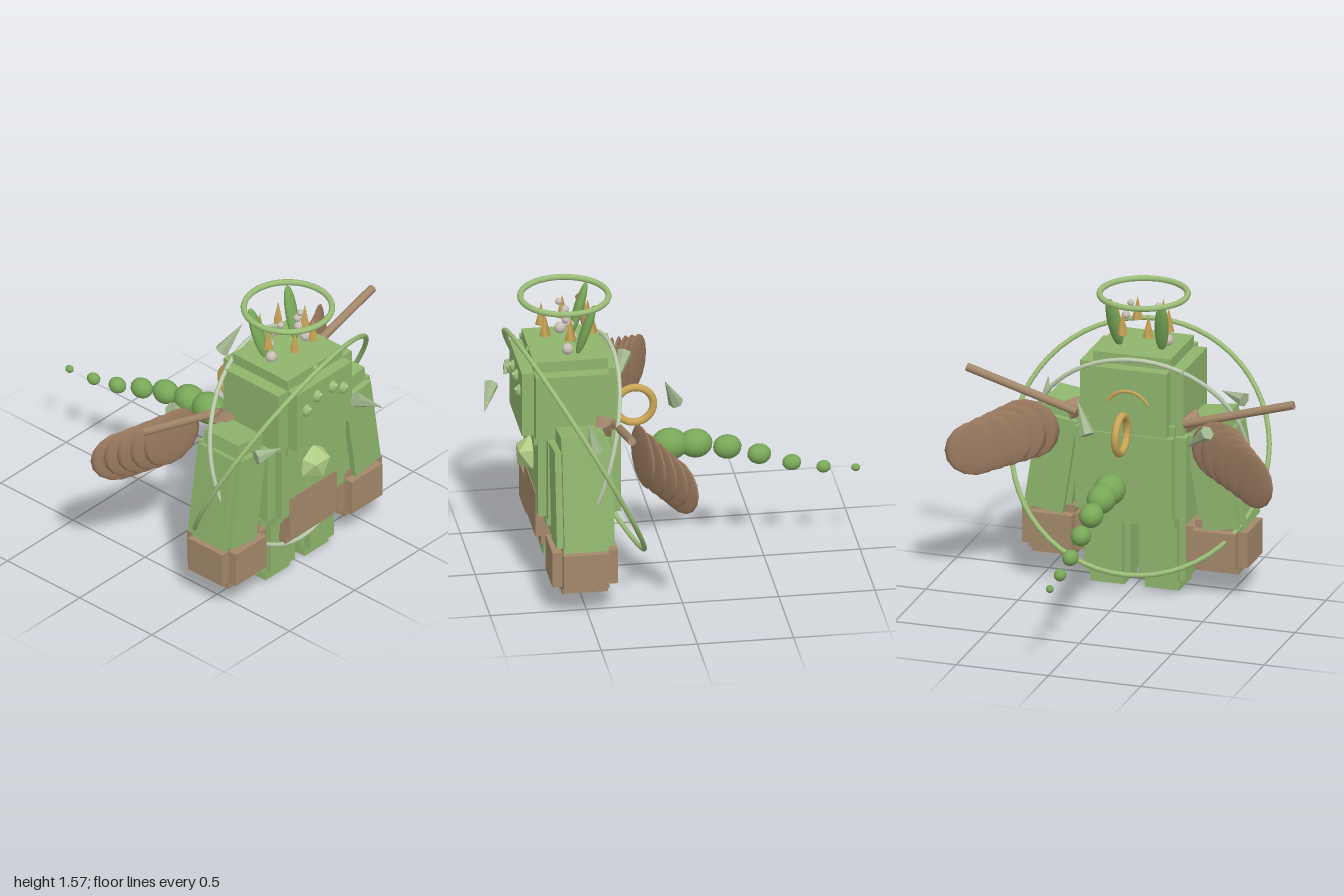
import * as THREE from 'three';

const mat = (name, color, side = THREE.FrontSide) => {
  const m = new THREE.MeshStandardMaterial({ color, side });
  m.name = name;
  return m;
};

export function createModel() {
  const green = mat('body green', 0x8fb56d);
  const brown = mat('earth brown', 0xa3886a);
  const tailGreen = mat('leaf green', 0x79a858);
  const lime = mat('light lime', 0xb2cf86);
  const ringGreen = mat('ring green', 0x9cbf78);
  const pale = mat('pale sage', 0xbccbab);
  const shardGreen = mat('shard green', 0xa3b890);
  const gold = mat('gold', 0xc9a656);
  const bead = mat('bead grey', 0xc9bfb6);
  const wingBrown = mat('wing brown', 0x9b7b60);
  shardGreen.flatShading = true;
  lime.flatShading = false;

  const root = new THREE.Group();
  const V = (x, y, z) => new THREE.Vector3(x, y, z);

  const add = (name, geo, material, pos = [0, 0, 0], rot = [0, 0, 0], parent = root) => {
    const m = new THREE.Mesh(geo, material);
    m.name = name;
    m.position.set(...pos);
    m.rotation.set(...rot);
    parent.add(m);
    return m;
  };

  // Chunky block: three crossed boxes, each full size along one axis only
  const block = (name, [w, h, d], pos, material, k = 0.75, rotZ = 0) => {
    const g = new THREE.Group();
    g.name = name;
    g.position.set(...pos);
    g.rotation.z = rotZ;
    add(name + 'Wide', new THREE.BoxGeometry(w, h * k, d * k), material, [0, 0, 0], [0, 0, 0], g);
    add(name + 'Tall', new THREE.BoxGeometry(w * k, h, d * k), material, [0, 0, 0], [0, 0, 0], g);
    add(name + 'Deep', new THREE.BoxGeometry(w * k, h * k, d), material, [0, 0, 0], [0, 0, 0], g);
    root.add(g);
  };

  // Cylinder or cone running from one point to another
  const rod = (name, a, b, r0, r1, sides, material) => {
    const dir = b.clone().sub(a);
    const m = add(name, new THREE.CylinderGeometry(r1, r0, dir.length(), sides), material);
    m.position.copy(a).add(b).multiplyScalar(0.5);
    m.quaternion.setFromUnitVectors(V(0, 1, 0), dir.normalize());
  };

  // Hoop facing along a normal
  const hoop = (name, R, r, pos, normal, material) => {
    const m = add(name, new THREE.TorusGeometry(R, r, 8, 56), material, pos);
    m.quaternion.setFromUnitVectors(V(0, 0, 1), normal.normalize());
  };

  // Head, torso and loincloth
  block('head', [0.56, 0.47, 0.51], [0, 1.045, 0.535], green);
  block('torso', [0.6, 0.555, 0.43], [0, 0.643, 0.495], green, 0.8);
  add('loincloth', new THREE.BoxGeometry(0.36, 0.245, 0.07), brown, [0, 0.4025, 0.68]);
  add('loinclothHem', new THREE.BoxGeometry(0.36, 0.06, 0.05), brown, [0, 0.265, 0.66]);

  for (const s of [-1, 1]) {
    // Limbs
    block('leg', [0.25, 0.45, 0.28], [s * 0.149, 0.225, 0.497], green, 0.74);
    block('arm', [0.25, 0.67, 0.3], [s * 0.438, 0.628, 0.513], green, 0.77, s * 0.15);
    block('hand', [0.335, 0.275, 0.34], [s * 0.443, 0.262, 0.515], brown, 0.7);

    // Ears
    const ear = add('ear', new THREE.SphereGeometry(1, 14, 10), tailGreen,
      [s * 0.128, 1.41, 0.445], [-0.3, 0, -s * 0.1]);
    ear.scale.set(0.038, 0.15, 0.025);

    // Bead feelers
    [[0.13, 1.31, 0.54, 0.03], [0.11, 1.365, 0.51, 0.025],
      [0.09, 1.43, 0.52, 0.021], [0.075, 1.485, 0.555, 0.018]].forEach(([x, y, z, r]) =>
      add('feelerBead', new THREE.SphereGeometry(r, 12, 8), bead, [s * x, y, z]));

    // Eyes with pupils
    for (const [x, y] of [[0.058, 1.143], [0.14, 1.095]]) {
      const eye = add('eye', new THREE.SphereGeometry(0.028, 14, 10), ringGreen, [s * x, y, 0.788]);
      eye.scale.y = 1.25;
      add('pupil', new THREE.SphereGeometry(0.011, 8, 6), lime, [s * x + 0.006, y + 0.012, 0.81]);
    }

    // Back poles with knobs at the shoulders
    rod('pole', V(s * 0.29, 0.945, 0.322), V(s * 0.885, 1.12, 0.322), 0.022, 0.022, 10, brown);
    add('shoulderKnob', new THREE.OctahedronGeometry(0.07), brown, [s * 0.315, 0.945, 0.38], [0.4, s * 0.5, 0.3]);

    // Layered wing feathers
    for (let i = 0; i < 5; i++) {
      const t = i / 4;
      const f = add('wingFeather', new THREE.SphereGeometry(1, 12, 8), wingBrown,
        [s * (0.53 + 0.215 * t), 0.86 - 0.075 * t, 0.21 - 0.15 * t], [0, s * (0.2 + 0.33 * t), 0]);
      f.scale.set(0.178 - 0.01 * t, 0.165 - 0.015 * t, 0.018);
    }
  }

  // Brow stud
  add('browStud', new THREE.SphereGeometry(0.019, 8, 6), ringGreen, [0, 1.26, 0.72]);

  // Chest gem, one facet facing forward
  const gemGeo = new THREE.IcosahedronGeometry(0.102, 0);
  gemGeo.rotateY(-0.365);
  gemGeo.rotateZ(-Math.PI / 2);
  add('chestGem', gemGeo, lime, [0, 0.673, 0.7]);

  // Crown spikes
  for (let i = 0; i < 6; i++) {
    const a = i * Math.PI / 3;
    add('crownSpike', new THREE.ConeGeometry(0.03, 0.125, 4), gold,
      [0.14 * Math.cos(a), 1.427, 0.527 + 0.14 * Math.sin(a)]);
  }

  // Halo and the two tilted orbit hoops
  hoop('halo', 0.227, 0.016, [0, 1.55, 0.537], V(0, 1, 0), ringGreen);
  hoop('outerOrbit', 0.668, 0.013, [0, 0.73, 0.485], V(0.175, -0.525, 1), ringGreen);
  hoop('innerOrbit', 0.568, 0.012, [0, 0.73, 0.48], V(0.12, 0.33, 1), pale);

  // Floating shards: base centre, then tip
  [[0.08, 1.115, 0.93, 0.225, 1.02, 0.99],
    [0.505, 0.89, 0.45, 0.5, 1.06, 0.49],
    [0.115, 0.96, -0.025, 0.195, 1.12, 0.045],
    [-0.475, 0.98, 0.15, -0.335, 0.86, 0.22],
    [-0.475, 0.95, 0.745, -0.335, 0.965, 0.8]].forEach(([a, b, c, d, e, f]) =>
    rod('shard', V(a, b, c), V(d, e, f), 0.04, 0, 6, shardGreen));

  // Ring and arched mark on the back
  add('backRing', new THREE.TorusGeometry(0.098, 0.02, 10, 32), gold, [0, 0.905, 0.172], [0, Math.PI / 2, 0]);
  add('backArch', new THREE.TorusGeometry(0.125, 0.009, 6, 20, Math.PI * 2 / 3), gold,
    [0, 0.98, 0.277], [0, 0, Math.PI / 6]);

  // Tail of shrinking beads
  [[0.67, -0.01, 0.083], [0.665, -0.145, 0.075], [0.633, -0.31, 0.063], [0.58, -0.476, 0.053],
    [0.52, -0.645, 0.042], [0.484, -0.81, 0.032], [0.467, -0.977, 0.02]].forEach(([y, z, r]) => {
    const b = add('tailBead', new THREE.SphereGeometry(r, 16, 12), tailGreen, [0, y, z]);
    b.scale.z = 1.17;
  });

  return root;
}
